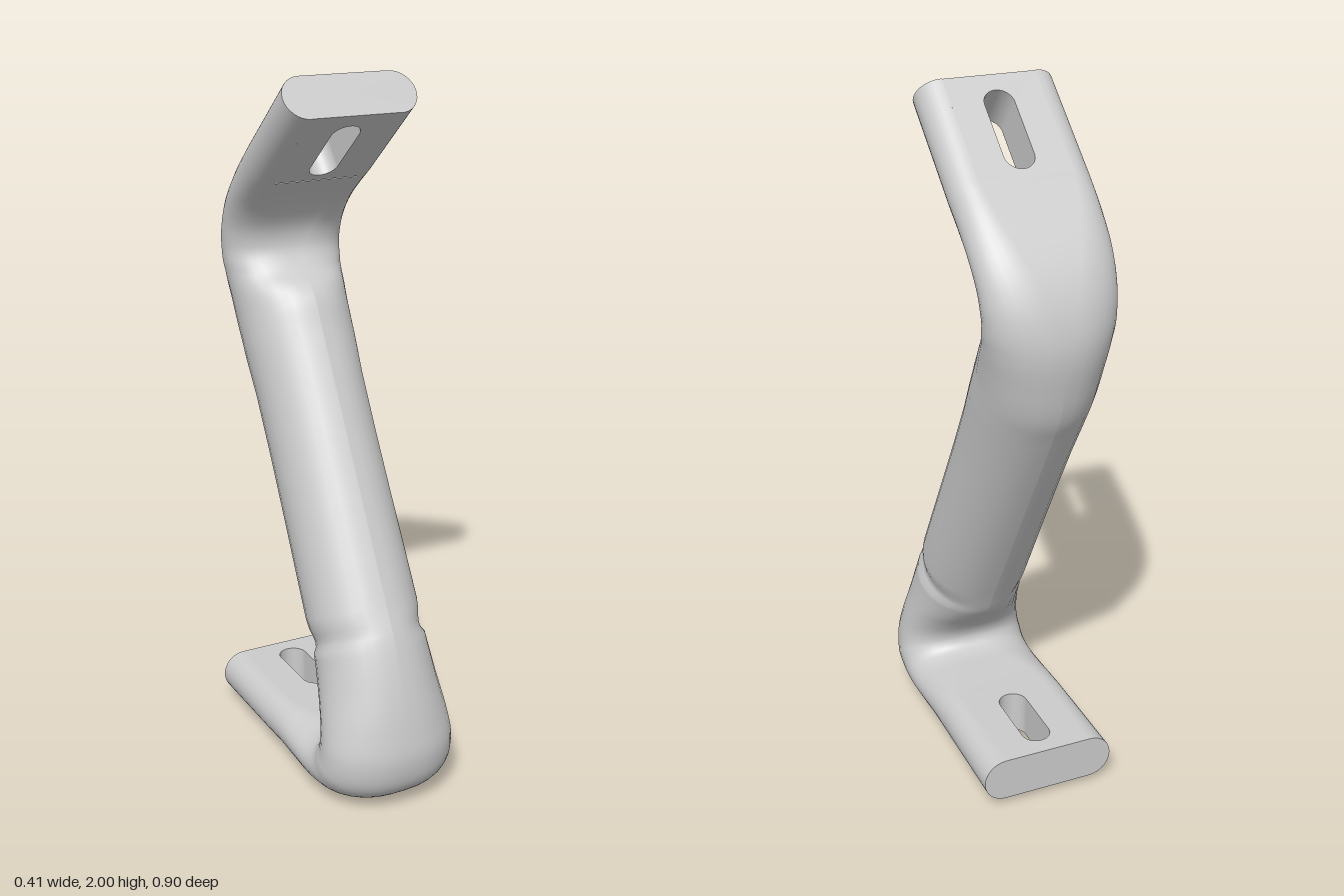
import * as THREE from 'three';

// Stations along the bent bar: [z, y] on one side, [z, y] on the other,
// half width, and how flat the section is (1 = stadium, 0 = ellipse).
const STATIONS = [
  [-0.38, 0.025, -0.38, 0.155, 0.197, 1],
  [-0.06, 0.025, -0.06, 0.155, 0.197, 1],
  [0.02, 0.022, 0.02, 0.156, 0.197, 0.9],
  [0.13, 0.01, 0.09, 0.158, 0.199, 0.7],
  [0.25, 0.002, 0.15, 0.163, 0.201, 0.5],
  [0.36, 0.02, 0.18, 0.177, 0.202, 0.35],
  [0.43, 0.075, 0.192, 0.2, 0.202, 0.3],
  [0.452, 0.16, 0.187, 0.227, 0.197, 0.3],
  [0.44, 0.25, 0.16, 0.268, 0.187, 0.3],
  [0.41, 0.365, 0.11, 0.318, 0.172, 0.3],
  [0.36, 0.5, 0.07, 0.36, 0.161, 0.3],
  [0.312, 0.586, 0.022, 0.445, 0.161, 0.3],
  [-0.072, 1.274, -0.362, 1.115, 0.161, 0.3],
  [-0.12, 1.36, -0.41, 1.2, 0.163, 0.3],
  [-0.155, 1.393, -0.435, 1.29, 0.168, 0.3],
  [-0.21, 1.425, -0.45, 1.4, 0.176, 0.3],
  [-0.248, 1.475, -0.437, 1.49, 0.183, 0.35],
  [-0.25, 1.53, -0.402, 1.575, 0.188, 0.5],
  [-0.22, 1.59, -0.35, 1.65, 0.192, 0.7],
  [-0.17, 1.646, -0.27, 1.73, 0.194, 0.9],
  [-0.115, 1.694, -0.195, 1.794, 0.195, 1],
  [0.13, 1.9, 0.05, 2.0, 0.195, 1],
];
const ARC = 16; // segments in each rounded edge
const RING = 2 * (ARC + 1);

// Turn side points, half width and flatness into one cross-section
function makeSection(a, b, w, k) {
  const centre = a.clone().add(b).multiplyScalar(0.5);
  const v = a.clone().sub(b).multiplyScalar(0.5);
  const t = v.length();
  const flat = Math.max(0, w - t) * k;
  const points = [];
  for (const side of [1, -1]) {
    for (let i = 0; i <= ARC; i++) {
      const angle = (i / ARC - 0.5) * Math.PI;
      const p = centre.clone().addScaledVector(v, side * Math.sin(angle));
      p.x = side * (flat + (w - flat) * Math.cos(angle));
      points.push(p);
    }
  }
  return { centre, t, flat, points };
}

function makeSections() {
  const A = STATIONS.map((s) => new THREE.Vector3(0, s[1], s[0]));
  const B = STATIONS.map((s) => new THREE.Vector3(0, s[3], s[2]));
  const S = STATIONS.map((s) => new THREE.Vector3(s[4], s[5], 0));
  const last = STATIONS.length - 1;
  const [ca, cb, cs] = [A, B, S].map((p) => new THREE.CatmullRomCurve3(p.slice(1, last)));
  const sections = [makeSection(A[0], B[0], S[0].x, S[0].y)];
  const steps = (last - 2) * 5;
  for (let i = 0; i <= steps; i++) {
    const s = cs.getPoint(i / steps);
    sections.push(makeSection(ca.getPoint(i / steps), cb.getPoint(i / steps), s.x, s.y));
  }
  sections.push(makeSection(A[last], B[last], S[last].x, S[last].y));
  return sections;
}

// Skin over the sections; the flat faces of both end tabs are left open
function makeBody(sections) {
  const index = [];
  const rows = sections.length - 1;
  for (let i = 0; i < rows; i++) {
    for (let j = 0; j < RING; j++) {
      const isTab = i === 0 || i === rows - 1;
      if (isTab && j % (ARC + 1) === ARC) continue;
      const a = i * RING + j, b = i * RING + (j + 1) % RING;
      index.push(a, a + RING, b, b, a + RING, b + RING);
    }
  }
  const geometry = new THREE.BufferGeometry().setFromPoints(sections.flatMap((s) => s.points));
  geometry.setIndex(index);
  geometry.computeVertexNormals();
  return geometry;
}

// Flat end of the bar
function makeCap(section, flip) {
  const geometry = new THREE.BufferGeometry().setFromPoints([section.centre, ...section.points]);
  const index = [];
  for (let j = 0; j < RING; j++) {
    const a = 1 + j, b = 1 + (j + 1) % RING;
    index.push(0, flip ? b : a, flip ? a : b);
  }
  geometry.setIndex(index);
  geometry.computeVertexNormals();
  return geometry;
}

// Both flat faces of a tab and the walls of the slot through it
function makeSlottedFaces(end, inner) {
  const { flat, t } = end;
  const u = inner.centre.clone().sub(end.centre);
  const length = u.length();
  u.normalize();
  const shape = new THREE.Shape();
  shape.moveTo(-flat, 0).lineTo(flat, 0).lineTo(flat, length).lineTo(-flat, length).closePath();
  const r = 0.042, near = 0.05 + r, far = 0.295 - r;
  const slot = new THREE.Path();
  slot.absarc(0, near, r, 0, -Math.PI, true);
  slot.absarc(0, far, r, Math.PI, 0, true);
  slot.closePath();
  shape.holes.push(slot);
  const solid = new THREE.ExtrudeGeometry(shape, { depth: 2 * t, bevelEnabled: false, curveSegments: 16 });
  solid.translate(0, 0, -t);

  // Drop the outer walls, which would lie inside the bar
  const p = solid.attributes.position, n = solid.attributes.normal;
  const position = [], normal = [];
  for (let i = 0; i < p.count; i += 3) {
    const outer = [0, 1, 2].some((c) => Math.abs(p.getX(i + c)) > r + 0.01);
    if (outer && Math.abs(n.getZ(i)) < 0.5) continue;
    for (let c = i; c < i + 3; c++) {
      position.push(p.getX(c), p.getY(c), p.getZ(c));
      normal.push(n.getX(c), n.getY(c), n.getZ(c));
    }
  }
  const geometry = new THREE.BufferGeometry();
  geometry.setAttribute('position', new THREE.Float32BufferAttribute(position, 3));
  geometry.setAttribute('normal', new THREE.Float32BufferAttribute(normal, 3));
  const x = new THREE.Vector3(1, 0, 0);
  const basis = new THREE.Matrix4().makeBasis(x, u, x.clone().cross(u));
  return geometry.applyMatrix4(basis.setPosition(end.centre));
}

export function createModel() {
  const group = new THREE.Group();
  group.name = 'bentBracket';
  const material = new THREE.MeshStandardMaterial({ color: 0xcccccc });
  const add = (name, geometry) => {
    const mesh = new THREE.Mesh(geometry, material);
    mesh.name = name;
    group.add(mesh);
  };
  const sections = makeSections();
  const last = sections.length - 1;
  add('bentBar', makeBody(sections));
  add('lowerEndCap', makeCap(sections[0], false));
  add('upperEndCap', makeCap(sections[last], true));
  add('lowerSlottedTab', makeSlottedFaces(sections[0], sections[1]));
  add('upperSlottedTab', makeSlottedFaces(sections[last], sections[last - 1]));
  return group;
}
